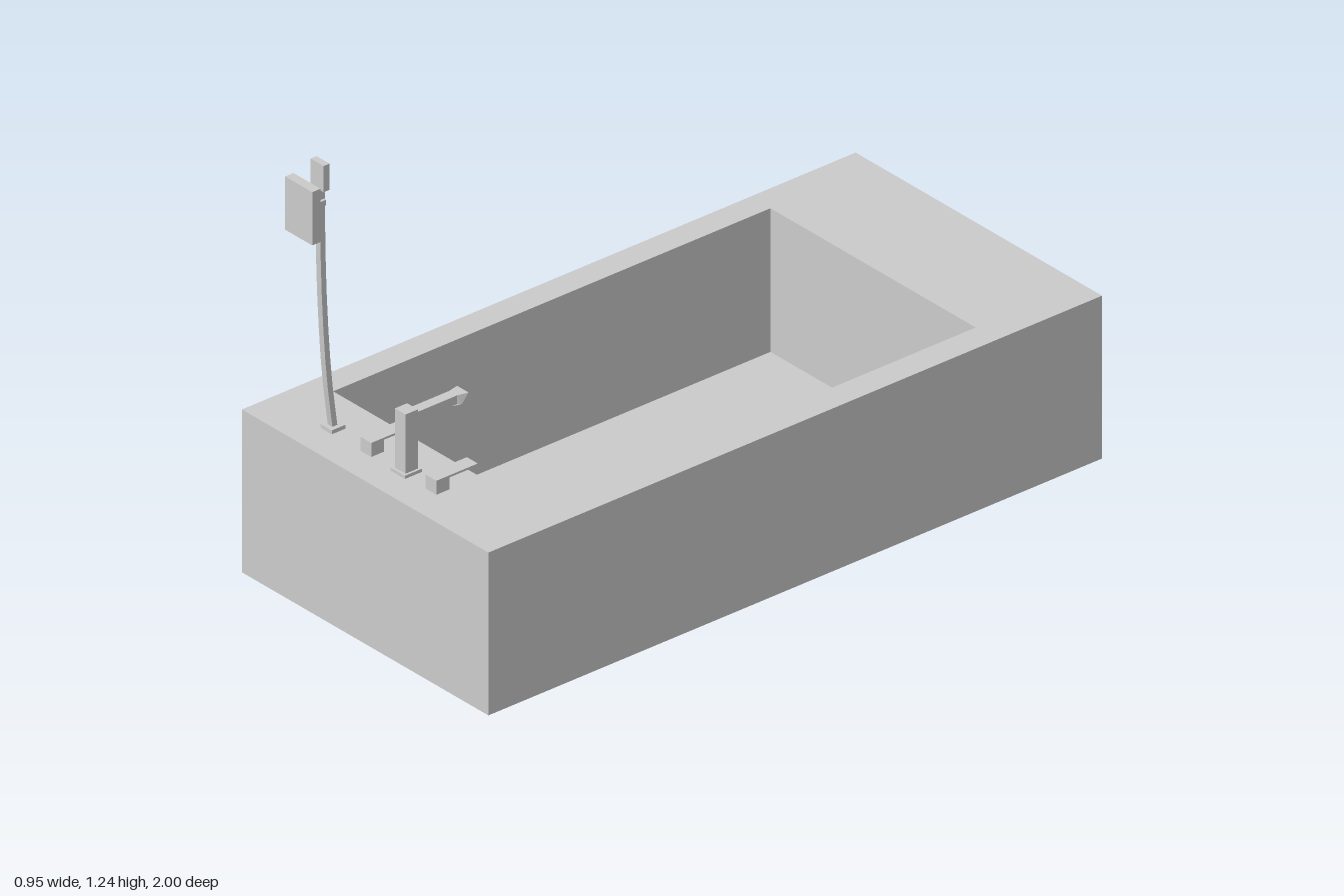
import * as THREE from 'three';

const material = new THREE.MeshStandardMaterial({ color: 0xcccccc, flatShading: true });

function mesh(name, geometry, parent) {
  const m = new THREE.Mesh(geometry, material);
  m.name = name;
  parent.add(m);
  return m;
}

// Box given by its minimum and maximum on each axis
function box(name, parent, [x0, x1], [y0, y1], [z0, z1]) {
  const m = mesh(name, new THREE.BoxGeometry(x1 - x0, y1 - y0, z1 - z0), parent);
  m.position.set((x0 + x1) / 2, (y0 + y1) / 2, (z0 + z1) / 2);
  return m;
}

function group(name, parent) {
  const g = new THREE.Group();
  g.name = name;
  parent.add(g);
  return g;
}

const points = (list) => list.map(([x, y]) => new THREE.Vector2(x, y));

// Plan outline (x, z) extruded downwards from y = top
function extrudePlan(shape, top, height) {
  const g = new THREE.ExtrudeGeometry(shape, { depth: height, bevelEnabled: false });
  return g.rotateX(Math.PI / 2).translate(0, top, 0);
}

export function createModel() {
  const model = new THREE.Group();
  model.name = 'bathtub';
  const rim = 0.465;

  // Tub: walls with a rectangular well, and a floor closing it
  const tub = group('tub', model);
  const outline = new THREE.Shape(points([[-0.473, -1], [0.473, -1], [0.473, 1], [-0.473, 1]]));
  outline.holes.push(new THREE.Path(points([[-0.396, -0.657], [-0.396, 0.768], [0.392, 0.768], [0.392, -0.657]])));
  mesh('tubWalls', extrudePlan(outline, rim, rim), tub);
  box('tubFloor', tub, [-0.396, 0.392], [0, 0.055], [-0.657, 0.768]);

  // Faucet: base plate, column and a spout flaring at its tip
  const faucet = group('faucet', model);
  box('faucetBase', faucet, [0, 0.056], [rim, 0.474], [0.862, 0.918]);
  box('faucetColumn', faucet, [0.008, 0.049], [0.474, 0.643], [0.87, 0.91]);
  const c = 0.0285;
  const spoutPlan = new THREE.Shape(points([
    [c - 0.015, 0.872], [c - 0.015, 0.738], [c - 0.022, 0.706],
    [c + 0.022, 0.706], [c + 0.015, 0.738], [c + 0.015, 0.872],
  ]));
  const spout = extrudePlan(spoutPlan, 0.632, 0.025);
  const pos = spout.attributes.position;
  for (let i = 0; i < pos.count; i++) {
    // Undercut the tip
    if (pos.getZ(i) < 0.72 && pos.getY(i) < 0.62) pos.setZ(i, 0.727);
  }
  mesh('spout', spout, faucet);

  // Two tap handles: a block with a thin lever on top
  for (const [side, x] of [['right', -0.1035], ['left', 0.1465]]) {
    const handle = group(side + 'Handle', model);
    const width = [x - 0.021, x + 0.021];
    box('handleBlock', handle, width, [rim, 0.499], [0.868, 0.91]);
    box('handleLever', handle, width, [0.499, 0.505], [0.775, 0.91]);
  }

  // Hand shower: base plate, bowed pole, holder, bracket and head
  const shower = group('handShower', model);
  box('showerBase', shower, [-0.276, -0.233], [rim, 0.476], [0.867, 0.911]);
  const bow = new THREE.SplineCurve(points([[0.889, 0.47], [0.911, 0.65], [0.926, 0.9], [0.931, 1.17]])).getPoints(8);
  const half = 0.008;
  const side = new THREE.Shape([
    ...bow.map((p) => new THREE.Vector2(p.x + half, p.y)),
    ...bow.map((p) => new THREE.Vector2(p.x - half, p.y)).reverse(),
  ]);
  const pole = new THREE.ExtrudeGeometry(side, { depth: 0.018, bevelEnabled: false });
  pole.rotateY(-Math.PI / 2).translate(-0.246, 0, 0);
  mesh('showerPole', pole, shower);
  box('poleTop', shower, [-0.28, -0.23], [1.168, 1.243], [0.921, 0.94]);
  box('showerBracket', shower, [-0.272, -0.238], [1.122, 1.138], [0.925, 0.973]);
  box('showerHead', shower, [-0.307, -0.203], [1.05, 1.202], [0.973, 1]);

  return model;
}
